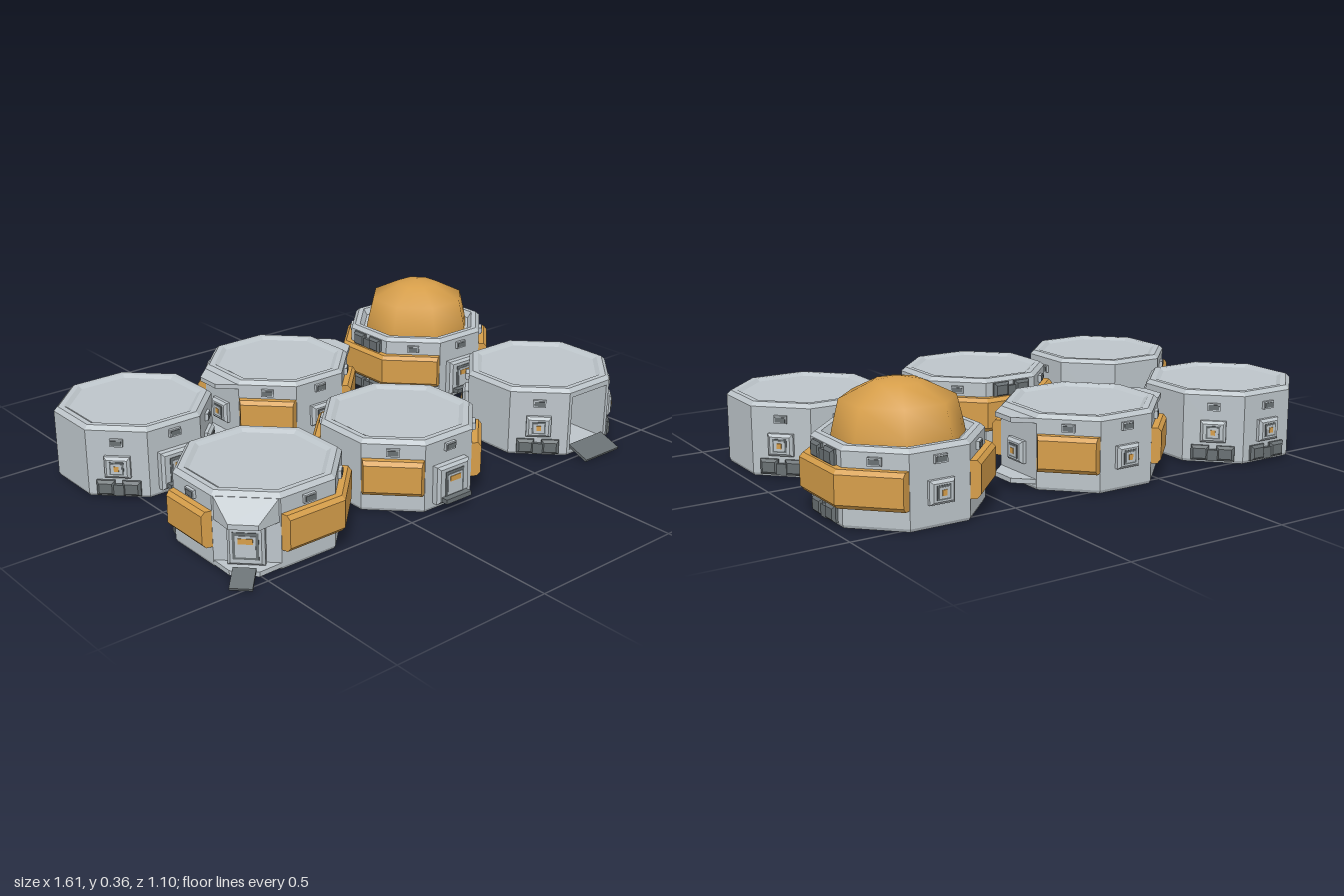
import * as THREE from 'three';
import { ConvexGeometry } from 'three/addons/geometries/ConvexGeometry.js';

const A = 0.218;                       // wall distance from module centre
const STEP = Math.PI / 4;              // one octagon face
const T = Math.tan(STEP / 2);          // face distance to half face width
const C = 1 / Math.cos(STEP / 2);      // face distance to corner radius

function mat(name, color, side = THREE.DoubleSide) {
  const m = new THREE.MeshStandardMaterial({ color, side });
  m.name = name;
  return m;
}

export function createModel() {
  const hull = mat('hull grey', 0xbdc5ca);
  const dark = mat('dark grey', 0x697073);
  const gold = mat('ochre', 0xd69e4a);

  const add = (parent, name, geo, m, x = 0, y = 0, z = 0) => {
    const mesh = new THREE.Mesh(geo, m);
    mesh.name = name;
    mesh.position.set(x, y, z);
    parent.add(mesh);
    return mesh;
  };
  const box = (parent, name, m, w, h, d, x, y, z) =>
    add(parent, name, new THREE.BoxGeometry(w, h, d), m, x, y, z);

  // Octagonal ring or part of one; profile is [face distance, y] from bottom to top
  function ring(profile, first = 0, count = 8) {
    const pts = profile.map(([r, y]) => new THREE.Vector2(r * C, y));
    const geo = new THREE.LatheGeometry(pts, count, (first - 0.5) * STEP, count * STEP).toNonIndexed();
    geo.computeVertexNormals();
    return geo;
  }

  // Group whose local +z points out of face k (0 = front, counting toward +x)
  function face(module, k, name) {
    const g = new THREE.Group();
    g.name = name;
    g.rotation.y = k * STEP;
    module.add(g);
    return g;
  }

  // Bevelled block lying against a wall
  function pad(parent, name, m, w, h, d, y) {
    const b = 0.008, pts = [];
    for (const sx of [-1, 1]) for (const sy of [-1, 1]) {
      pts.push(new THREE.Vector3(sx * w / 2, y + sy * h / 2, A - 0.004));
      pts.push(new THREE.Vector3(sx * w / 2, y + sy * h / 2, A + d - b));
      pts.push(new THREE.Vector3(sx * (w / 2 - b), y + sy * (h / 2 - b), A + d));
    }
    return add(parent, name, new ConvexGeometry(pts), m);
  }

  function vent(g, y = 0.19) {
    box(g, 'ventFrame', hull, 0.038, 0.023, 0.012, 0, y, A + 0.003);
    box(g, 'ventSlot', dark, 0.031, 0.015, 0.006, 0, y, A + 0.008);
  }

  function hatch(g) {
    pad(g, 'hatchFrame', hull, 0.076, 0.066, 0.018, 0.103);
    box(g, 'hatchRecess', dark, 0.042, 0.04, 0.004, 0, 0.103, A + 0.018);
    box(g, 'hatchPanel', hull, 0.032, 0.03, 0.005, 0, 0.103, A + 0.019);
    box(g, 'hatchWindow', gold, 0.014, 0.016, 0.005, 0, 0.103, A + 0.021);
  }

  // Pair of dark equipment blocks with a lower link between them
  function blocks(g, y) {
    for (const s of [-1, 1]) pad(g, 'equipmentBlock', dark, 0.054, 0.046, 0.015, y).position.x = s * 0.038;
    box(g, 'equipmentLink', dark, 0.03, 0.034, 0.014, 0, y - 0.006, A + 0.004);
  }

  function service(module, k) {
    const g = face(module, k, 'servicePanel');
    vent(g, 0.178);
    hatch(g);
    blocks(g, 0.036);
  }

  function porthole(module, k) {
    const g = face(module, k, 'portholePanel');
    vent(g);
    hatch(g);
  }

  function door(g, w) {
    pad(g, 'airlockPorch', hull, w, 0.116, 0.026, 0.084);
    box(g, 'airlockRecess', dark, 0.07, 0.078, 0.004, 0, 0.085, A + 0.026);
    box(g, 'airlockDoor', hull, 0.054, 0.062, 0.005, 0, 0.084, A + 0.027);
    box(g, 'airlockWindow', gold, 0.04, 0.016, 0.004, 0, 0.1, A + 0.029);
  }

  function airlock(module) {
    const g = face(module, 0, 'airlock');
    vent(g);
    door(g, 0.12);
    box(g, 'airlockStep', dark, 0.096, 0.014, 0.05, 0, 0.042, A + 0.022);
  }

  // Ochre padded belt over a run of faces: mitred between faces, square at its ends
  function belt(module, first, count) {
    const prof = [[-0.004, 0.064], [0.018, 0.064], [0.028, 0.076], [0.028, 0.157], [0.018, 0.169], [-0.004, 0.169]];
    for (let k = first; k < first + count; k++) {
      const g = face(module, k, 'beltSegment'), pts = [];
      for (const s of [-1, 1]) {
        const end = s < 0 ? k === first : k === first + count - 1;
        for (const [d, y] of prof)
          pts.push(new THREE.Vector3(s * (end ? A * T - 0.3 * Math.max(d, 0) : (A + d) * T), y, A + d));
      }
      add(g, 'belt', new ConvexGeometry(pts), gold);
      if (count === 3 && k === first + 1) { blocks(g, 0.188); blocks(g, 0.036); }
      else vent(g);
    }
  }

  function ramp(g, w, len, z) {
    box(g, 'ramp', dark, w, 0.008, len, 0, 0.02, z).rotation.x = 0.36;
  }

  // Thin tapered plate standing out from a wall
  const plate = new THREE.Shape([[-0.09, 0], [0.09, 0], [0.04, -0.053], [-0.04, -0.053]]
    .map(p => new THREE.Vector2(...p)));
  function canopy(g, y) {
    add(g, 'canopy', new THREE.ExtrudeGeometry(plate, { depth: 0.014, bevelEnabled: false }), hull, 0, y, A)
      .rotation.x = -Math.PI / 2;
  }

  const root = new THREE.Group();
  root.name = 'outpost';

  function habitat(name, x, z, { open = false, well = 0.217 } = {}) {
    const m = new THREE.Group();
    m.name = name;
    m.position.set(x, 0, z);
    root.add(m);
    add(m, 'base', ring([[0, 0.005], [A - 0.004, 0.005], [A, 0.014]]), hull);
    add(m, 'walls', ring([[A, 0.014], [A, 0.213]], open ? 1 : 0, open ? 7 : 8), hull);
    add(m, 'roof', ring([[A, 0.213], [A - 0.012, 0.225], [0.19, 0.225], [0.178, well], [0, well]]), hull);
    return m;
  }

  // Back left: plain module
  const plain = habitat('plainModule', -0.39, -0.313);
  [1, 3, 4, 7].forEach(k => service(plain, k));
  airlock(plain);

  // Back middle: connector module with canopies on both sides
  const connector = habitat('connectorModule', 0.147, -0.313);
  [1, 3, 5, 7].forEach(k => belt(connector, k, 1));
  [0, 4].forEach(k => porthole(connector, k));
  for (const k of [2, 6]) {
    const g = face(connector, k, 'dockingSide');
    hatch(g);
    canopy(g, 0.199);
    canopy(g, 0.022);
  }

  // Back right: domed module
  const domed = habitat('domedModule', 0.752, -0.311, { well: 0.205 });
  belt(domed, 1, 3);
  belt(domed, 5, 3);
  airlock(domed);
  porthole(domed, 4);
  const dome = new THREE.LatheGeometry([[0.17, 0.2], [0.165, 0.23], [0.147, 0.31], [0.064, 0.354], [0, 0.367]]
    .map(([r, y]) => new THREE.Vector2(r * C, y)), 8, -STEP / 2);
  const pos = dome.attributes.position, n = new THREE.Vector3();
  for (let i = 0; i < pos.count; i++) {          // rounded shading over the coarse facets
    n.fromBufferAttribute(pos, i).setY(pos.getY(i) - 0.19).normalize();
    dome.attributes.normal.setXYZ(i, n.x, n.y, n.z);
  }
  add(domed, 'dome', dome, gold);

  // Front left: module with a sheltered corner door
  const porch = habitat('porchModule', -0.35, 0.263);
  belt(porch, 0, 2);
  belt(porch, 6, 1);
  [2, 5].forEach(k => service(porch, k));
  const corner = face(porch, 7, 'cornerPorch');
  const hood = [];
  for (const s of [-1, 1]) for (const [w, y, z] of
    [[0.09, 0.145, A - 0.005], [0.09, 0.217, A - 0.005], [0.04, 0.145, A + 0.053], [0.04, 0.16, A + 0.053]])
    hood.push(new THREE.Vector3(s * w, y, z));
  add(corner, 'porchHood', new ConvexGeometry(hood), hull);
  canopy(corner, 0.012);
  door(corner, 0.1);
  ramp(corner, 0.062, 0.07, 0.3);

  // Front middle: belted module
  const belted = habitat('beltedModule', 0.155, 0.263);
  belt(belted, 3, 3);
  belt(belted, 1, 1);
  belt(belted, 7, 1);
  airlock(belted);

  // Front right: garage module with an open doorway
  const garage = habitat('garageModule', 0.752, 0.263, { open: true });
  [1, 3, 4, 5, 7].forEach(k => service(garage, k));
  const rect = (S, w, y0, y1) => new S([[-w, y0], [w, y0], [w, y1], [-w, y1]].map(p => new THREE.Vector2(...p)));
  const wall = rect(THREE.Shape, A * T, 0.014, 0.213);
  wall.holes.push(rect(THREE.Path, 0.078, 0.022, 0.197));
  add(garage, 'doorFrame', new THREE.ExtrudeGeometry(wall, { depth: 0.01, bevelEnabled: false }), hull, 0, 0, A - 0.01);
  box(garage, 'bayBack', hull, 0.17, 0.18, 0.006, 0, 0.11, -0.02);
  for (const s of [-1, 1]) box(garage, 'baySide', hull, 0.006, 0.18, 0.23, s * 0.082, 0.11, 0.095);
  box(garage, 'bayFloor', hull, 0.16, 0.006, 0.23, 0, 0.019, 0.095);
  ramp(garage, 0.15, 0.078, 0.248);

  return root;
}
